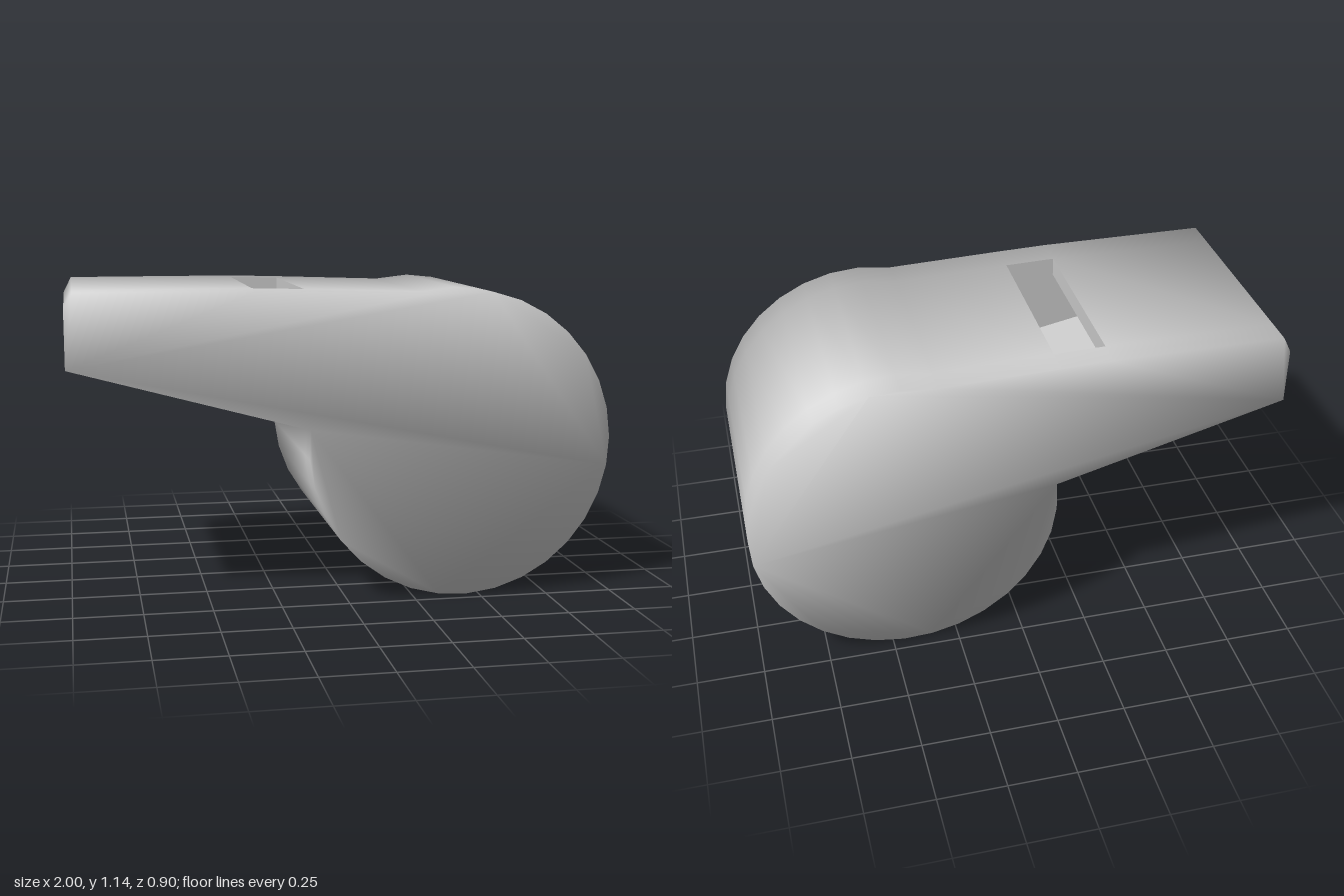
import * as THREE from 'three';

const V = (x, y) => new THREE.Vector2(x, y);
const CX = 0.43, CY = 0.575, HALF = 0.45;

// points along a circle around the chamber centre, angles in degrees
function arc(r, from, to, n) {
  return Array.from({ length: n + 1 }, (_, i) => {
    const a = THREE.MathUtils.degToRad(from + (to - from) * i / n);
    return V(CX + r * Math.cos(a), CY + r * Math.sin(a));
  });
}

// outer silhouette, clockwise from the top of the mouthpiece
const lip = [V(-1, 1.09), V(-0.97, 1.15), V(-0.33, 1.15)];
const barrel = [V(-0.14, 1.145), V(0.3, 1.13), ...arc(0.57, 90, -187, 25), V(-1, 0.88)];
const outer = [...lip, ...barrel];

// hollow: airway floor, round chamber, then back along the airway roof
const cavity = [V(-1, 0.94), ...arc(0.5, 160, 470, 28), V(-0.14, 1.08)];
const roof = [V(-0.33, 1.08), V(-1, 1.05)];

// softened outward direction at each silhouette point
const outward = outer.map((p, i) => {
  const n = outer.length;
  const a = p.clone().sub(outer[(i + n - 1) % n]).normalize();
  const b = outer[(i + 1) % n].clone().sub(p).normalize();
  const d = a.add(b).normalize();
  return V(-d.y, d.x);
});

// extrudes a profile between two depths and rounds the shading of the outer skin
function slab(name, points, z0, z1, material) {
  const geo = new THREE.ExtrudeGeometry(new THREE.Shape(points), { depth: z1 - z0, bevelEnabled: false });
  geo.translate(0, 0, z0);
  const pos = geo.attributes.position, nor = geo.attributes.normal;
  const flat = new THREE.Vector3(), soft = new THREE.Vector3();
  for (let i = 0; i < pos.count; i++) {
    const x = pos.getX(i), y = pos.getY(i);
    const k = outer.findIndex(p => Math.hypot(p.x - x, p.y - y) < 1e-4);
    if (k < 0) continue;
    flat.fromBufferAttribute(nor, i);
    soft.set(outward[k].x, outward[k].y, pos.getZ(i) / HALF).normalize();
    if (flat.dot(soft) > 0.05) nor.setXYZ(i, soft.x, soft.y, soft.z);
  }
  const mesh = new THREE.Mesh(geo, material);
  mesh.name = name;
  return mesh;
}

export function createModel() {
  const group = new THREE.Group();
  group.name = 'whistle';
  const mat = new THREE.MeshStandardMaterial({ color: 0xcccccc });
  const shell = [...outer, ...cavity, ...roof];

  group.add(
    // closed side walls
    slab('backWall', outer, -HALF, -0.4, mat),
    slab('frontWall', outer, 0.4, HALF, mat),
    // hollow shell beside the sound slot
    slab('backShell', shell, -0.4, -0.35, mat),
    slab('frontShell', shell, 0.33, 0.4, mat),
    // hollow shell split by the sound slot
    slab('mouthpieceRoof', [...lip, ...roof], -0.35, 0.33, mat),
    slab('chamberShell', [...barrel, ...cavity], -0.35, 0.33, mat),
  );
  return group;
}
